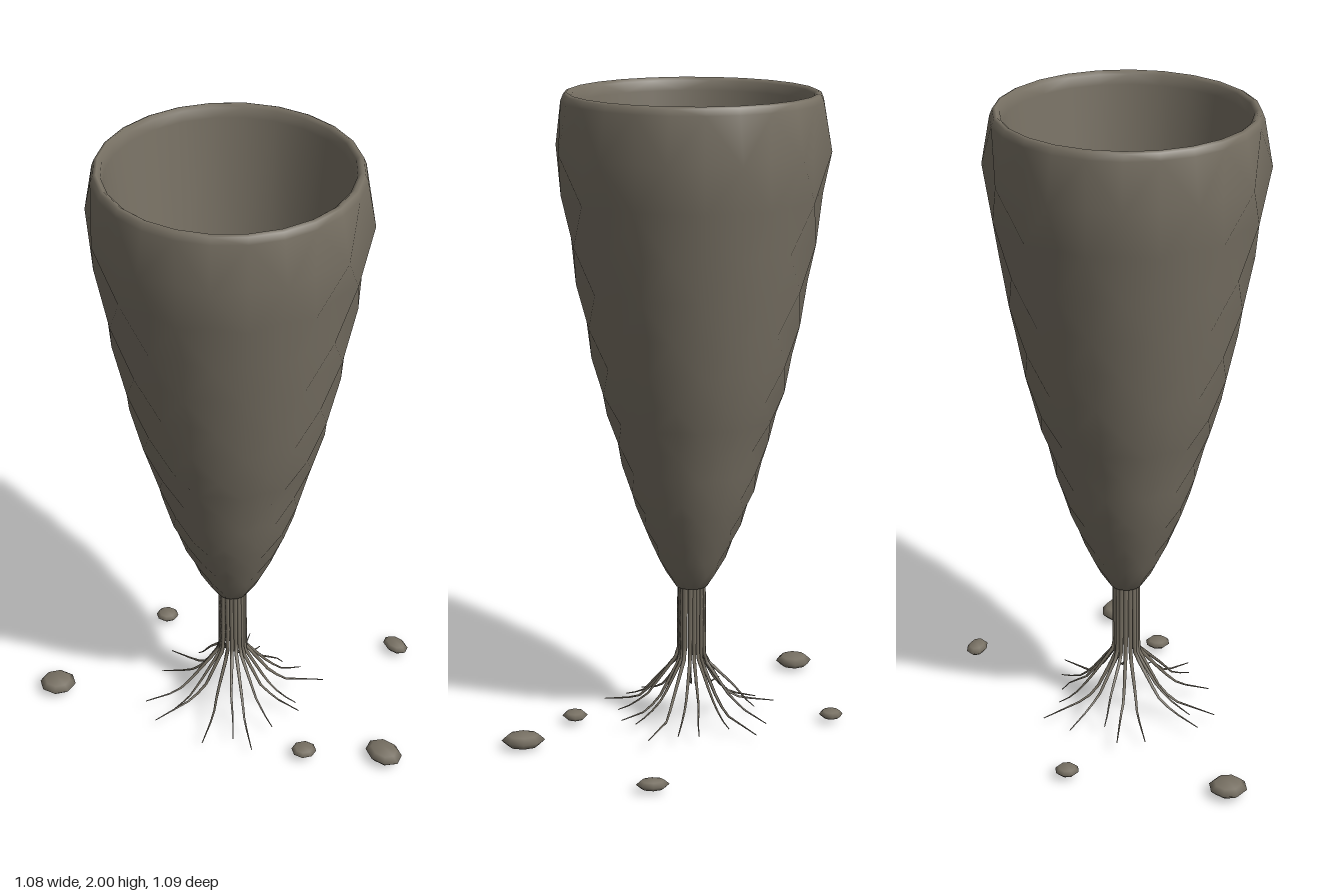
import * as THREE from 'three';

const CX = -0.065, CZ = 0.05; // axis of the cup

// Rings [y, radius, bump], joined into one smooth closed skin; bump pushes alternate columns in and out
function ringSkin(rings, sides) {
  const pos = [], idx = [];
  rings.forEach(([y, r, bump], j) => {
    for (let i = 0; i < sides; i++) {
      const a = (i / sides) * Math.PI * 2;
      const rr = r * ((i + j) % 2 === 0 ? 1 : 1 - bump);
      pos.push(Math.sin(a) * rr, y, Math.cos(a) * rr);
    }
  });
  for (let j = 0; j < rings.length - 1; j++) {
    for (let i = 0; i < sides; i++) {
      const k = (i + 1) % sides;
      const a = j * sides + i, b = j * sides + k, c = a + sides, d = b + sides;
      // split each cell along the line joining its two raised corners
      if ((i + j) % 2 === 0) idx.push(a, b, d, a, d, c);
      else idx.push(a, b, c, b, d, c);
    }
  }
  const g = new THREE.BufferGeometry();
  g.setAttribute('position', new THREE.Float32BufferAttribute(pos, 3));
  g.setIndex(idx);
  g.computeVertexNormals();
  return g;
}

// Tube that thins out towards its tip
function taperedTube(points, r0, r1) {
  const path = new THREE.CurvePath();
  for (let i = 0; i < points.length - 1; i++) path.add(new THREE.LineCurve3(points[i], points[i + 1]));
  const seg = 14, sides = 5;
  const g = new THREE.TubeGeometry(path, seg, 1, sides);
  const p = g.attributes.position, v = new THREE.Vector3();
  for (let j = 0; j <= seg; j++) {
    const c = path.getPointAt(j / seg);
    const r = r0 + (r1 - r0) * Math.pow(j / seg, 1.5);
    for (let i = 0; i <= sides; i++) {
      const n = j * (sides + 1) + i;
      v.fromBufferAttribute(p, n).sub(c).multiplyScalar(r).add(c);
      p.setXYZ(n, v.x, v.y, v.z);
    }
  }
  return g;
}

export function createModel() {
  const group = new THREE.Group();
  group.name = 'rootedCup';
  const stone = new THREE.MeshStandardMaterial({ color: 0x787164 });
  stone.name = 'grey brown stone';

  const add = (name, geometry, parent = group) => {
    const m = new THREE.Mesh(geometry, stone);
    m.name = name;
    parent.add(m);
    return m;
  };

  // Cup: base, scaled outside, rounded rim, smooth inside and floor
  const scaleRows = [
    [0.5, 0.08], [0.55, 0.107], [0.605, 0.13], [0.66, 0.155], [0.715, 0.174], [0.77, 0.195],
    [0.85, 0.217], [0.93, 0.238], [1.01, 0.262], [1.09, 0.286], [1.19, 0.308], [1.3, 0.331],
    [1.42, 0.353], [1.55, 0.376], [1.69, 0.396], [1.83, 0.42],
  ];
  const rings = [
    [0.455, 0.0005, 0], [0.455, 0.05, 0],
    ...scaleRows.map(([y, r]) => [y, r, 0.075]),
    [1.975, 0.394, 0], [1.995, 0.386, 0], [2, 0.376, 0], [1.99, 0.364, 0], [1.96, 0.358, 0],
    [1.6, 0.316, 0], [1.28, 0.277, 0], [1.22, 0.255, 0], [1.205, 0.2, 0], [1.2, 0.0005, 0],
  ];
  add('cup', ringSkin(rings, 24)).position.set(CX, 0, CZ);

  // Roots: a tight bundle that spreads out over the ground
  let seed = 7;
  const rand = () => (seed = (seed * 16807) % 2147483647) / 2147483647;
  const roots = new THREE.Group();
  roots.name = 'roots';
  roots.position.set(CX, 0, CZ);
  group.add(roots);
  const count = 18;
  for (let i = 0; i < count; i++) {
    const a = ((i + 0.5 * rand()) / count) * Math.PI * 2;
    const reach = 0.2 + 0.11 * rand();
    const knee = 0.1 + 0.04 * rand();
    const at = (r, y, turn = 0) => new THREE.Vector3(Math.sin(a + turn) * r, y, Math.cos(a + turn) * r);
    const turn = (rand() - 0.5) * 0.3;
    const points = [
      at(0.036, 0.47), at(0.036 + 0.006 * rand(), 0.21 + 0.02 * rand()),
      at(knee, 0.09 + 0.03 * rand(), turn / 2), at(knee + 0.05, 0.05 + 0.015 * rand(), turn),
      at(reach, 0.025 + 0.02 * rand(), turn),
    ];
    add('root', taperedTube(points, 0.0085, 0.0015), roots);
  }

  // Pebbles: x, z, width, height, depth
  const pebbles = [
    [0.1, -0.515, 0.1, 0.035, 0.066], [0.473, -0.143, 0.135, 0.05, 0.1],
    [-0.505, -0.005, 0.075, 0.03, 0.075], [-0.45, 0.487, 0.118, 0.045, 0.118],
    [0.305, 0.05, 0.08, 0.03, 0.08],
  ];
  const pebbleGroup = new THREE.Group();
  pebbleGroup.name = 'pebbles';
  group.add(pebbleGroup);
  for (const [x, z, w, h, d] of pebbles) {
    const m = add('pebble', new THREE.SphereGeometry(0.5, 8, 4), pebbleGroup);
    m.scale.set(w, h, d);
    m.position.set(x, 0.03, z);
  }
  return group;
}
